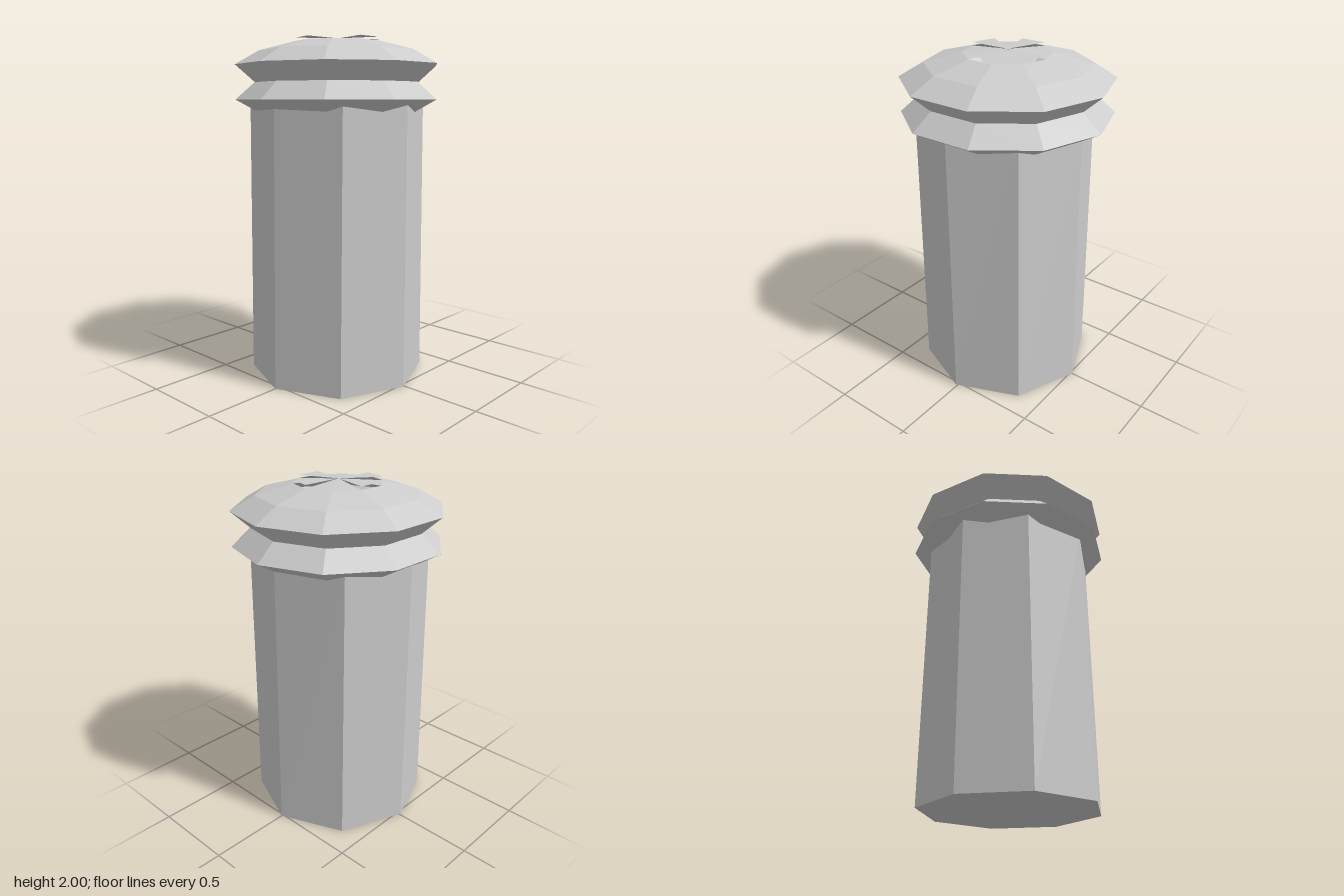
import * as THREE from 'three';

export function createModel() {
  const group = new THREE.Group();
  const grey = new THREE.MeshStandardMaterial({ color: 0xcccccc, flatShading: true, side: THREE.DoubleSide });
  grey.name = 'light grey';

  const add = (name, geometry) => {
    const mesh = new THREE.Mesh(geometry, grey);
    mesh.name = name;
    group.add(mesh);
  };
  const points = (list) => list.map(([r, y]) => new THREE.Vector2(r, y));

  // Eight-sided shaft, narrowing slightly from front to back as it rises
  const height = 1.63;
  const shaft = new THREE.CylinderGeometry(0.523, 0.523, height, 8);
  shaft.translate(0, height / 2, 0);
  const pos = shaft.attributes.position;
  for (let i = 0; i < pos.count; i++) {
    pos.setZ(i, pos.getZ(i) * (1 - 0.04 * pos.getY(i) / height) + 0.01);
  }
  add('shaft', shaft);

  // Ten-sided head with two ridges and a groove between them
  const rim = 0.252;
  add('head', new THREE.LatheGeometry(points([
    [0.465, 1.567], [0.605, 1.645], [0.492, 1.745], [0.605, 1.845], [0.465, 1.925], [rim, 1.981],
  ]), 10));

  // Crown of ten wedges; four lie flat and leave a gap above the rim
  const step = Math.PI / 5;
  const flat = [2, 4, 7, 9];
  for (let k = 0; k < 10; k++) {
    const isFlat = flat.includes(k);
    const profile = points([[rim, isFlat ? 2 : 1.981], [0, 2]]);
    add(isFlat ? 'flatCrownWedge' : 'crownWedge', new THREE.LatheGeometry(profile, 1, k * step, step));
  }
  return group;
}
